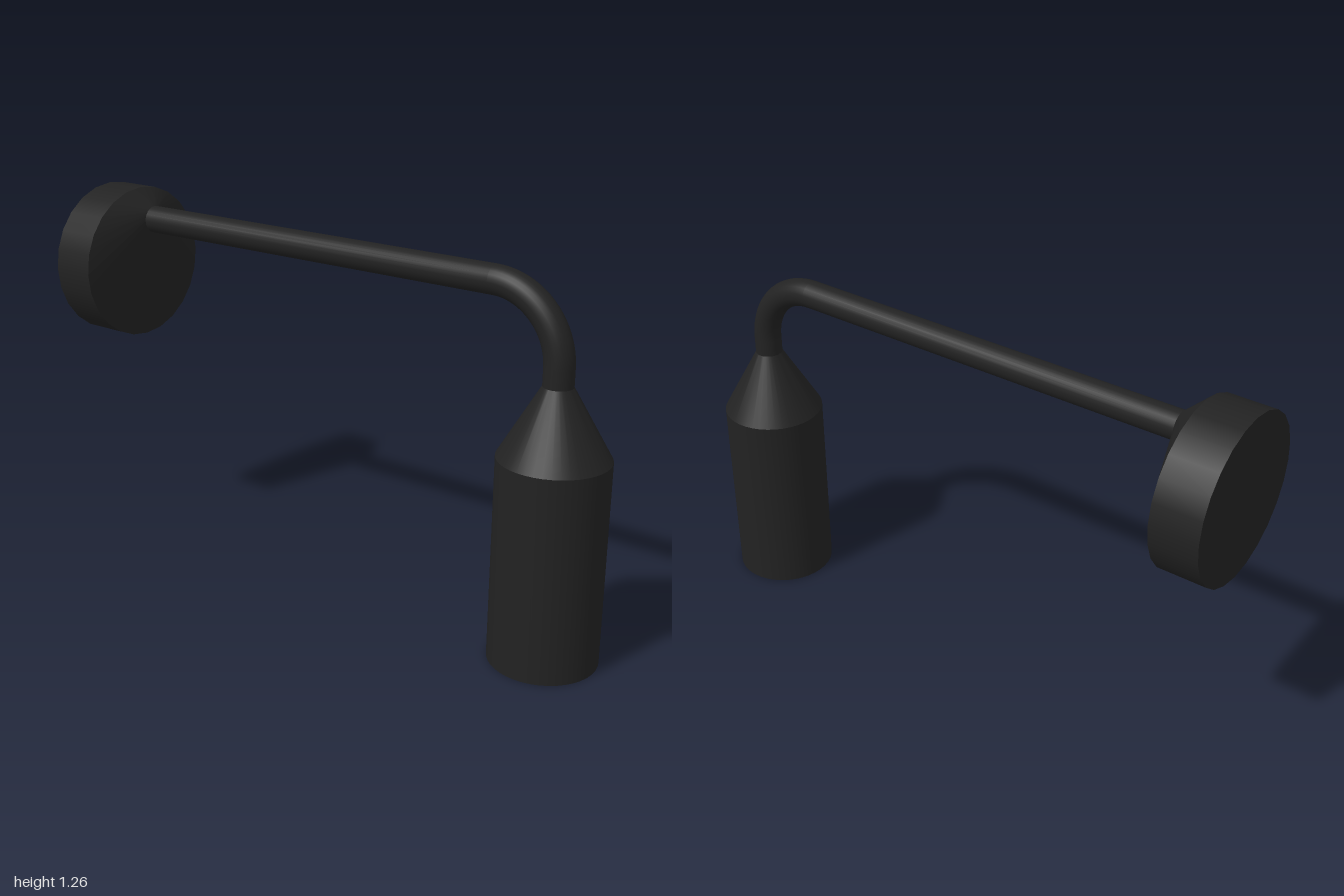
import * as THREE from 'three';
import { toCreasedNormals } from 'three/addons/utils/BufferGeometryUtils.js';

const black = new THREE.MeshStandardMaterial({ color: 0x222222 });
const glow = new THREE.MeshStandardMaterial({ color: 0xd8cf96 });

const ARM_Y = 1.16, ARM_R = 0.046, BEND_R = 0.225;
const SHADE_X = 0.828, SHADE_R = 0.172;
const PLATE_Y = 1, PLATE_R = 0.265, PLATE_FRONT = -0.845, NECK_X = -0.78;

export function createModel() {
  const group = new THREE.Group();
  const add = (parent, name, geometry, material, x, y) => {
    const mesh = new THREE.Mesh(geometry, material);
    mesh.name = name;
    mesh.position.set(x, y, 0);
    parent.add(mesh);
    return mesh;
  };

  // Wall mount: a disc with a shallow cone leaning up towards the arm
  const mount = new THREE.Group();
  mount.name = 'wallMount';
  group.add(mount);
  const depth = PLATE_FRONT + 1;
  const disc = new THREE.CylinderGeometry(PLATE_R, PLATE_R, depth, 24).rotateZ(-Math.PI / 2);
  add(mount, 'mountDisc', disc, black, -1 + depth / 2, PLATE_Y);

  const rise = NECK_X - PLATE_FRONT;
  const cone = new THREE.CylinderGeometry(ARM_R, PLATE_R, rise, 24, 1, true).rotateZ(-Math.PI / 2);
  const pos = cone.attributes.position;
  for (let i = 0; i < pos.count; i++) {
    if (pos.getX(i) > 0) pos.setY(i, pos.getY(i) + ARM_Y - PLATE_Y);
  }
  cone.computeVertexNormals();
  add(mount, 'mountCone', cone, black, PLATE_FRONT + rise / 2, PLATE_Y);

  // Arm: straight run, quarter bend and short drop into the shade
  const arm = new THREE.Group();
  arm.name = 'arm';
  group.add(arm);
  const bendX = SHADE_X - BEND_R, bendY = ARM_Y - BEND_R;
  const run = bendX - NECK_X;
  const tube = (length) => new THREE.CylinderGeometry(ARM_R, ARM_R, length, 24);
  add(arm, 'armRun', tube(run).rotateZ(-Math.PI / 2), black, NECK_X + run / 2, ARM_Y);
  add(arm, 'armBend', new THREE.TorusGeometry(BEND_R, ARM_R, 24, 20, Math.PI / 2), black, bendX, bendY);
  add(arm, 'armDrop', tube(bendY - 0.87), black, SHADE_X, (bendY + 0.87) / 2);

  // Shade: thin open rim, straight wall and conical top
  const profile = [
    [0.166, 0.06], [0.166, 0], [SHADE_R, 0], [SHADE_R, 0.66], [ARM_R, 0.88], [0, 0.88],
  ].map(([r, y]) => new THREE.Vector2(r, y));
  const shade = toCreasedNormals(new THREE.LatheGeometry(profile, 40), 0.4);
  add(group, 'shade', shade, black, SHADE_X, 0);

  // Recessed light panel facing down
  const panel = new THREE.CircleGeometry(0.167, 40).rotateX(Math.PI / 2);
  add(group, 'lightPanel', panel, glow, SHADE_X, 0.06);

  return group;
}
